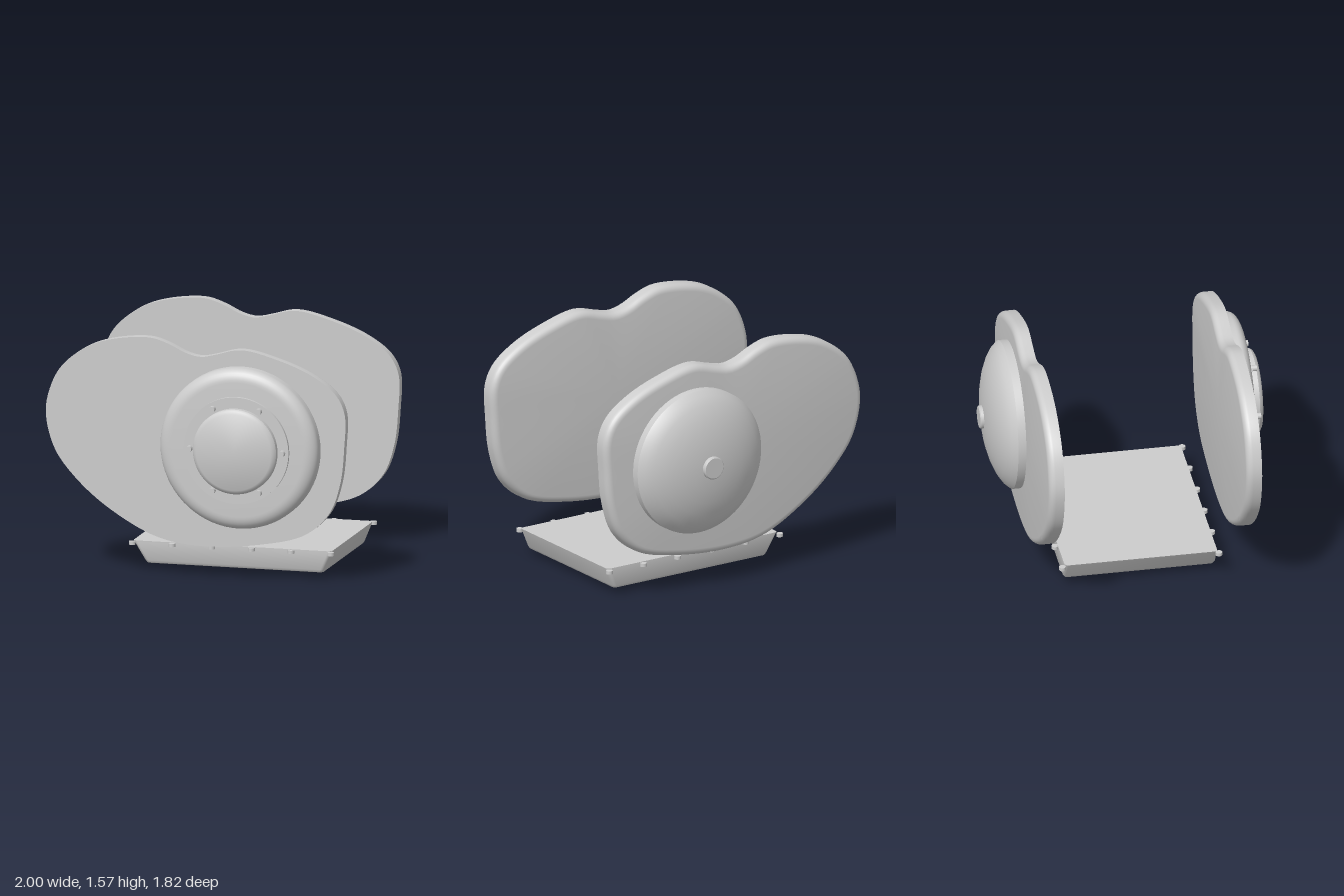
import * as THREE from 'three';
import { toCreasedNormals } from 'three/addons/utils/BufferGeometryUtils.js';

const grey = new THREE.MeshStandardMaterial({ color: 0xcccccc });
grey.name = 'light grey';

// Closed solid through rings of [x, y, z], counter-clockwise and stacked along +z
function loft(rings, crease = 0.6) {
  const n = rings[0].length, pos = rings.flat(2), index = [];
  for (let r = 0; r < rings.length - 1; r++) {
    for (let i = 0; i < n; i++) {
      const j = (i + 1) % n, a = r * n + i, b = r * n + j;
      index.push(a, b, b + n, a, b + n, a + n);
    }
  }
  const last = (rings.length - 1) * n, c0 = rings.length * n;
  for (const ring of [rings[0], rings[rings.length - 1]]) {
    for (let k = 0; k < 3; k++) pos.push(ring.reduce((s, p) => s + p[k], 0) / n);
  }
  for (let i = 0; i < n; i++) {
    const j = (i + 1) % n;
    index.push(c0, j, i, c0 + 1, last + i, last + j);
  }
  const g = new THREE.BufferGeometry();
  g.setAttribute('position', new THREE.Float32BufferAttribute(pos, 3));
  g.setIndex(index);
  return toCreasedNormals(g, crease);
}

// Turned part from [radius, height] points, base to tip
function turned(points, segments = 72) {
  const g = new THREE.LatheGeometry(points.map(p => new THREE.Vector2(p[0], p[1])), segments);
  return toCreasedNormals(g, 0.5);
}

function add(parent, name, geometry, x = 0, y = 0, z = 0) {
  const m = new THREE.Mesh(geometry, grey);
  m.name = name;
  m.position.set(x, y, z);
  parent.add(m);
  return m;
}

// Side cover: flat at the front, rounded over at the back edge
function coverGeometry() {
  const outline = [
    [-1, 1.03], [-0.975, 1.19], [-0.9, 1.34], [-0.76, 1.46], [-0.6, 1.53], [-0.31, 1.565],
    [-0.18, 1.53], [-0.06, 1.475], [0.035, 1.456], [0.13, 1.475], [0.3, 1.515], [0.54, 1.465],
    [0.78, 1.37], [0.935, 1.255], [0.995, 1.13], [0.992, 0.91], [0.965, 0.67], [0.89, 0.47],
    [0.73, 0.325], [0.43, 0.245], [0.03, 0.215], [-0.26, 0.26], [-0.58, 0.43], [-0.8, 0.615],
    [-0.94, 0.8],
  ].reverse();
  const curve = new THREE.CatmullRomCurve3(
    outline.map(p => new THREE.Vector3(p[0], p[1], 0)), true);
  const n = 150, depth = 0.1, radius = 0.045, steps = 6;
  const ring = (inset, z) => Array.from({ length: n }, (_, i) => {
    const p = curve.getPointAt(i / n), t = curve.getTangentAt(i / n);
    return [p.x - t.y * inset, p.y + t.x * inset, z];
  });
  const rings = [];
  for (let s = 0; s <= steps; s++) {
    const a = (s / steps) * Math.PI / 2;
    rings.push(ring(radius * (1 - Math.sin(a)), radius * (1 - Math.cos(a))));
  }
  rings.push(ring(0, depth));
  return loft(rings);
}

// Pan: rounded-rectangle sections, ends sloping in towards the floor
function panGeometry() {
  const section = (x0, x1, y0, y1, r, h) => {
    const ring = [];
    [[x1 - r, y1 - r], [x0 + r, y1 - r], [x0 + r, y0 + r], [x1 - r, y0 + r]].forEach(([x, y], q) => {
      for (let s = 0; s <= 4; s++) {
        const a = (q + s / 4) * Math.PI / 2;
        ring.push([x + r * Math.cos(a), y + r * Math.sin(a), h]);
      }
    });
    return ring;
  };
  return loft([
    section(-0.37, 0.78, -0.485, 0.46, 0.015, 0.038),
    section(-0.385, 0.793, -0.5, 0.475, 0.02, 0.043),
    section(-0.396, 0.803, -0.51, 0.485, 0.025, 0.06),
    section(-0.465, 0.848, -0.51, 0.488, 0.025, 0.17),
    section(-0.473, 0.853, -0.51, 0.488, 0.025, 0.185),
  ], 0.7).rotateX(-Math.PI / 2);
}

export function createModel() {
  const model = new THREE.Group();
  model.name = 'engineCovers';
  const cx = 0.308, cy = 0.882;

  // Front and rear side covers
  const cover = coverGeometry();
  add(model, 'frontSideCover', cover, 0, 0, 0.605);
  add(model, 'rearSideCover', cover, 0, 0, -0.685);

  // Round housing on the front cover
  const front = new THREE.Group();
  front.name = 'frontRoundHousing';
  front.position.set(cx, cy, 0.7);
  front.rotation.x = Math.PI / 2;
  model.add(front);
  const housing = [[0.527, 0]];
  for (let s = 0; s <= 8; s++) {
    const a = (s / 8) * Math.PI / 2;
    housing.push([0.44 + 0.087 * Math.cos(a), 0.055 + 0.065 * Math.sin(a)]);
  }
  housing.push([0, 0.12]);
  add(front, 'housingDrum', turned(housing));
  add(front, 'boltFlange', turned([[0.35, 0.11], [0.35, 0.142], [0, 0.142]]));
  add(front, 'centreCap', turned([[0.278, 0.13], [0.278, 0.18], [0.268, 0.195], [0.25, 0.205], [0, 0.207]]));
  const flangeBolt = new THREE.CylinderGeometry(0.02, 0.02, 0.04, 16);
  for (let i = 0; i < 6; i++) {
    const a = i * Math.PI / 3;
    add(front, 'flangeBolt', flangeBolt, 0.309 * Math.cos(a), 0.158, 0.309 * Math.sin(a));
  }

  // Dome on the rear cover
  const rear = new THREE.Group();
  rear.name = 'rearDome';
  rear.position.set(cx, cy, -0.685);
  rear.rotation.x = -Math.PI / 2;
  model.add(rear);
  add(rear, 'dome', turned([[0.481, -0.01], [0.481, 0.052], [0.45, 0.088], [0.398, 0.123],
    [0.325, 0.155], [0.245, 0.178], [0.16, 0.193], [0.08, 0.201], [0, 0.203]]));
  add(rear, 'domePlug', turned([[0.075, 0.18], [0.075, 0.219], [0.068, 0.225], [0, 0.225]], 32));

  // Pan with a row of bolts along each long side and a drain plug
  add(model, 'pan', panGeometry());
  const panBolt = new THREE.CylinderGeometry(0.022, 0.022, 0.022, 16);
  for (const z of [-0.505, 0.518]) {
    for (let i = 0; i < 6; i++) add(model, 'panBolt', panBolt, -0.475 + i * 0.265, 0.17, z);
  }
  const plug = add(model, 'drainPlug',
    new THREE.CylinderGeometry(0.045, 0.045, 0.05, 6).toNonIndexed(), 0.187, 0.025, 0.015);
  plug.geometry.computeVertexNormals();
  plug.rotation.y = 0.4;

  return model;
}
